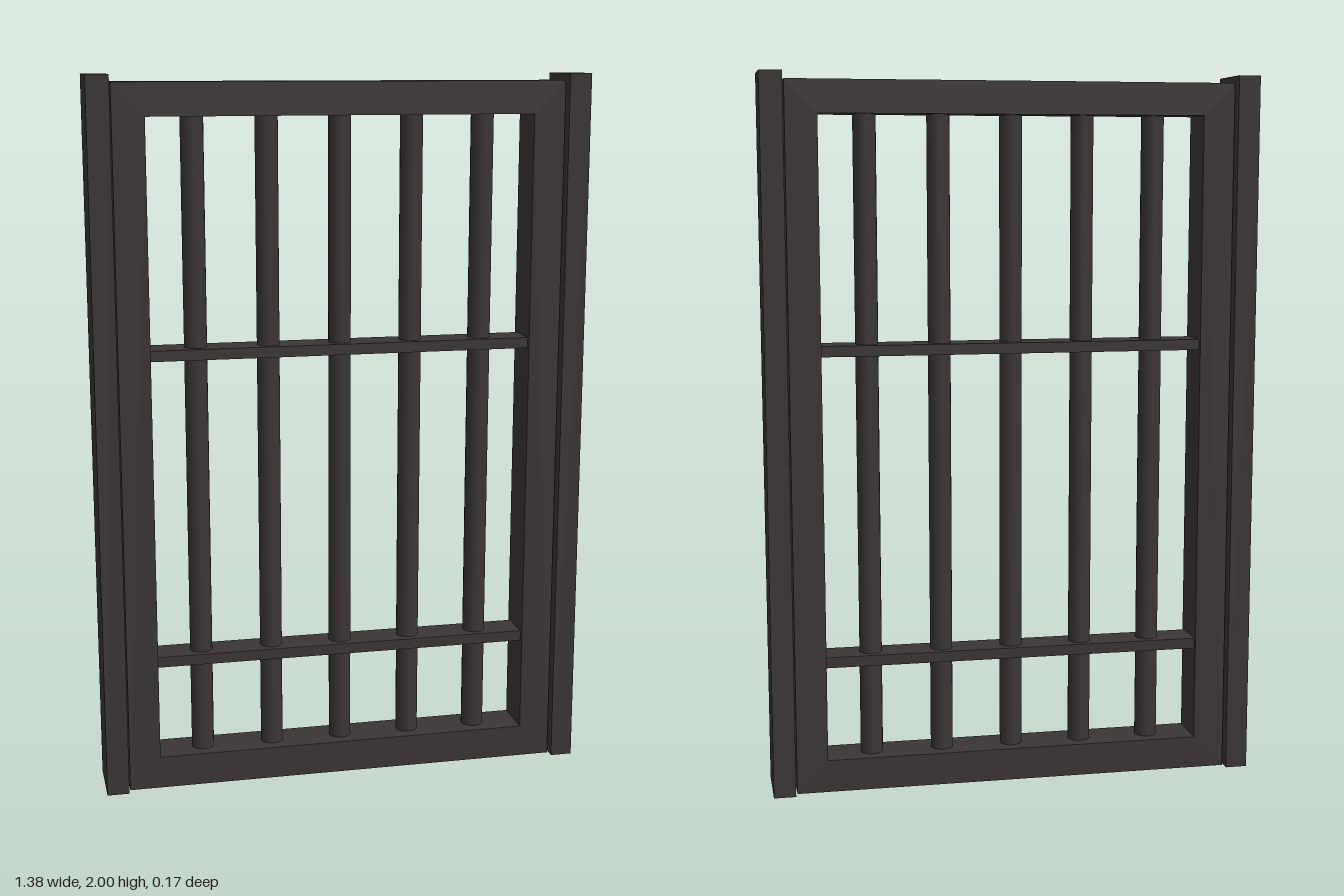
import * as THREE from 'three';

export function createModel() {
  const model = new THREE.Group();
  model.name = 'barredGate';

  const darkIron = new THREE.MeshStandardMaterial({ color: 0x3b3534 });
  darkIron.name = 'darkIron';

  const add = (name, geometry, x, y, z = 0) => {
    const mesh = new THREE.Mesh(geometry, darkIron);
    mesh.name = name;
    mesh.position.set(x, y, z);
    model.add(mesh);
  };

  // Side posts, standing just clear of the gate
  for (const [side, sign] of [['left', 1], ['right', -1]]) {
    add(`${side}Post`, new THREE.BoxGeometry(0.062, 2, 0.175), sign * 0.661, 1);
  }

  // Rectangular gate frame with one large opening
  const frameDepth = 0.13;
  const outline = new THREE.Shape([
    new THREE.Vector2(-0.625, 0), new THREE.Vector2(0.625, 0),
    new THREE.Vector2(0.625, 1.98), new THREE.Vector2(-0.625, 1.98),
  ]);
  outline.holes.push(new THREE.Path([
    new THREE.Vector2(-0.537, 0.092), new THREE.Vector2(-0.537, 1.89),
    new THREE.Vector2(0.537, 1.89), new THREE.Vector2(0.537, 0.092),
  ]));
  const frame = new THREE.ExtrudeGeometry(outline, { depth: frameDepth, bevelEnabled: false });
  add('gateFrame', frame, 0, 0, -frameDepth / 2);

  // Five round upright bars, let slightly into the frame
  const bar = new THREE.CylinderGeometry(0.032, 0.032, 1.81, 16, 1, true);
  for (let i = -2; i <= 2; i++) add(`uprightBar${i + 3}`, bar, i * 0.203, 0.991);

  // Flat cross bars tying the uprights together
  const crossBar = new THREE.BoxGeometry(1.076, 0.03, 0.1);
  add('lowerCrossBar', crossBar, 0, 0.372);
  add('upperCrossBar', crossBar, 0, 1.249);

  return model;
}
